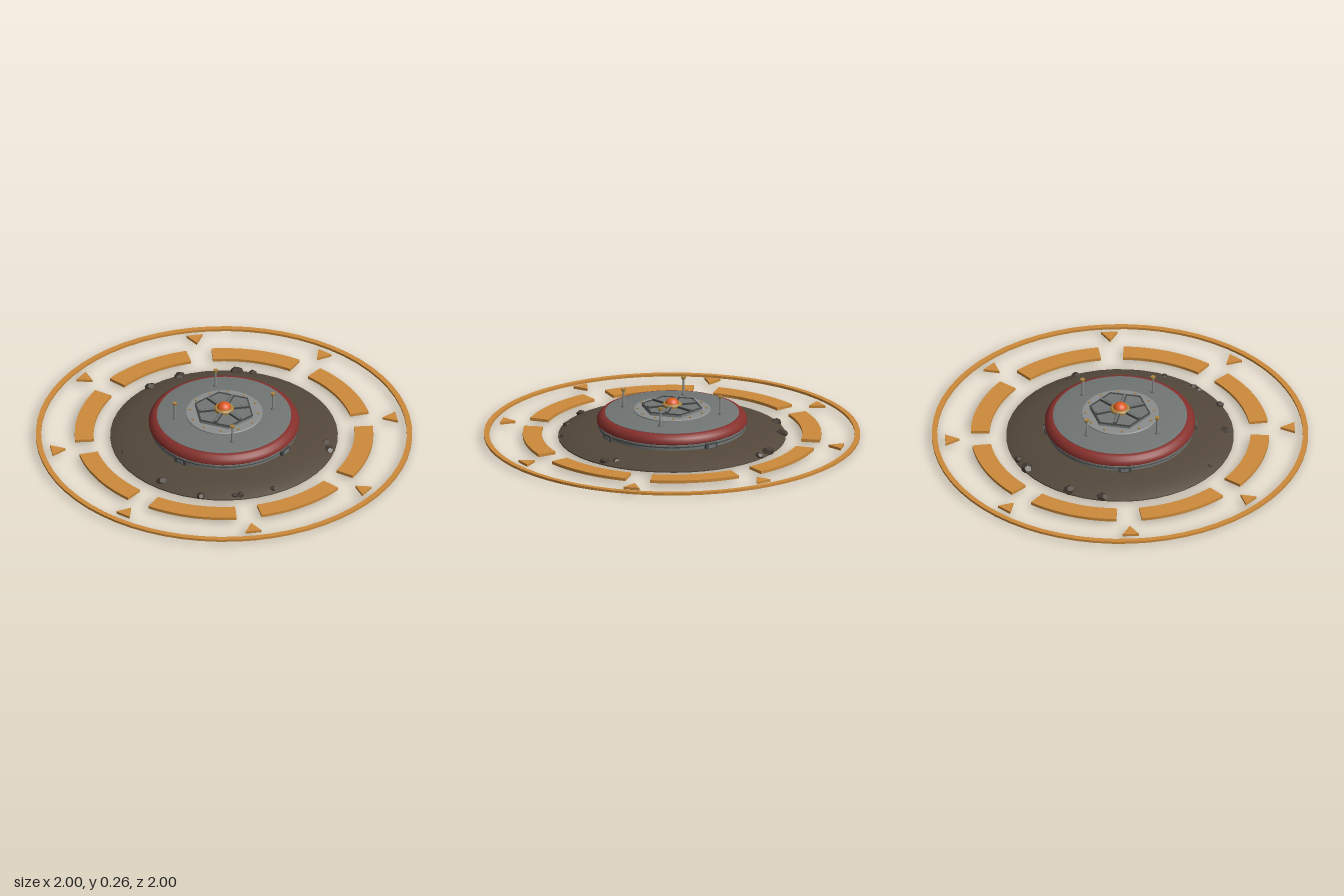
import * as THREE from 'three';
import { toCreasedNormals } from 'three/addons/utils/BufferGeometryUtils.js';

const material = (name, color) => {
  const m = new THREE.MeshStandardMaterial({ color });
  m.name = name;
  return m;
};

export function createModel() {
  const amber = material('amber marking', 0xcc8a3a);
  const soil = material('brown soil', 0x54483b);
  const stone = material('dark stone', 0x443b32);
  const steel = material('steel grey', 0x717674);
  const pale = material('pale grey', 0x8b8e8c);
  const dark = material('dark grey', 0x484a49);
  const red = material('dull red', 0x86302b);
  const orange = material('signal orange', 0xdc5a20);
  const brass = material('brass', 0xa98440);

  const model = new THREE.Group();
  model.name = 'buriedDevice';

  const add = (name, geometry, mat, x = 0, y = 0, z = 0, parent = model) => {
    const mesh = new THREE.Mesh(geometry, mat);
    mesh.name = name;
    mesh.position.set(x, y, z);
    parent.add(mesh);
    return mesh;
  };
  const lathe = (name, points, mat, sides = 64) => add(name, toCreasedNormals(
    new THREE.LatheGeometry(points.map(([r, y]) => new THREE.Vector2(r, y)), sides), 0.5), mat);
  // Flat plate lying on the ground plane
  const plate = (shape, height) => new THREE.ExtrudeGeometry(shape,
    { depth: height, bevelEnabled: false, curveSegments: 32 }).rotateX(-Math.PI / 2);
  // Pivot turned about the vertical axis
  const pivot = (name, angle) => {
    const g = new THREE.Group();
    g.name = name;
    g.rotation.y = angle;
    model.add(g);
    return g;
  };

  // Outer warning ring
  const ring = new THREE.Shape().absarc(0, 0, 1, 0, Math.PI * 2);
  ring.holes.push(new THREE.Path().absarc(0, 0, 0.972, 0, Math.PI * 2, true));
  add('outerRing', plate(ring, 0.013), amber, 0, 0.018, 0);

  // Dashed inner ring and inward-pointing arrows
  const dash = new THREE.Shape();
  const a0 = 0.085, a1 = Math.PI / 4 - 0.085;
  dash.absarc(0, 0, 0.793, a0, a1, false);
  dash.absarc(0, 0, 0.693, a1, a0, true);
  dash.closePath();
  const dashGeometry = plate(dash, 0.016);
  const arrow = new THREE.Shape([[0.855, 0], [0.93, -0.043], [0.93, 0.043]]
    .map(([x, y]) => new THREE.Vector2(x, y)));
  const arrowGeometry = plate(arrow, 0.014);
  for (let i = 0; i < 8; i++) {
    const g = pivot('marker', i * Math.PI / 4);
    add('dash', dashGeometry, amber, 0, 0.016, 0, g);
    add('arrow', arrowGeometry, amber, 0, 0.018, 0, g);
  }

  // Soil mound
  lathe('soilMound', [[0, 0.012], [0.605, 0.012], [0.605, 0.018], [0.56, 0.036],
    [0.5, 0.048], [0.44, 0.056], [0.38, 0.064], [0, 0.064]], soil, 48);

  // Stones around the mound edge: x, z, size
  const stones = [[-0.31, -0.495, 0.033], [-0.14, -0.565, 0.036], [0.165, -0.562, 0.038],
    [0.245, -0.532, 0.026], [-0.555, 0.085, 0.02], [-0.4, 0.385, 0.035], [-0.22, 0.55, 0.026],
    [-0.04, 0.578, 0.02], [-0.01, 0.578, 0.024], [0.17, 0.55, 0.022], [0.515, 0.18, 0.031],
    [0.525, 0.24, 0.031], [0.55, -0.01, 0.018]];
  stones.forEach(([x, z, s], i) => {
    const rock = add('stone', toCreasedNormals(new THREE.DodecahedronGeometry(s), 0.1),
      stone, x, 0.026, z);
    rock.scale.set(1, 0.68, 0.85);
    rock.rotation.y = i * 1.3;
  });

  // Lower casing, red rim and sloped cover
  lathe('casing', [[0.38, 0.04], [0.39, 0.05], [0.39, 0.08], [0.395, 0.084],
    [0.395, 0.092], [0.38, 0.097]], steel);
  lathe('rimSeam', [[0.384, 0.076], [0.393, 0.077], [0.393, 0.082], [0.384, 0.083]], dark);
  lathe('redRim', [[0.37, 0.095], [0.395, 0.095], [0.4, 0.1], [0.4, 0.112], [0.392, 0.128],
    [0.378, 0.141], [0.367, 0.146], [0.35, 0.146]], red);
  lathe('cover', [[0.357, 0.14], [0.357, 0.148], [0.345, 0.151], [0.2, 0.161], [0, 0.161]], steel);

  // Side latches
  for (let i = 0; i < 4; i++) {
    const g = pivot('latch', Math.PI / 4 + i * Math.PI / 2);
    add('latchBlock', new THREE.BoxGeometry(0.07, 0.034, 0.025), dark, 0, 0.073, 0.392, g);
    add('latchPlate', new THREE.BoxGeometry(0.04, 0.016, 0.006), steel, 0, 0.073, 0.405, g);
  }

  // Pressure plate with bolts
  lathe('boltRing', [[0.205, 0.155], [0.205, 0.166], [0.2, 0.169], [0, 0.169]], pale);
  for (let i = 0; i < 12; i++) {
    const a = (i + 0.5) * Math.PI / 6;
    add('bolt', new THREE.CylinderGeometry(0.006, 0.006, 0.006, 8), brass,
      Math.sin(a) * 0.183, 0.171, Math.cos(a) * 0.183);
  }

  // Hexagonal hub with raised edge and spokes
  add('hexHub', toCreasedNormals(new THREE.CylinderGeometry(0.162, 0.166, 0.016, 6), 0.3),
    steel, 0, 0.175, 0);
  for (let i = 0; i < 6; i++) {
    const g = pivot('hubSector', Math.PI / 2 + i * Math.PI / 3);
    add('hexEdge', new THREE.BoxGeometry(0.164, 0.006, 0.007), dark, 0, 0.184, 0.139, g);
    add('spoke', new THREE.BoxGeometry(0.019, 0.012, 0.1), dark, 0, 0.187, 0.085, g);
    add('spokeCap', new THREE.BoxGeometry(0.011, 0.004, 0.094), steel, 0, 0.193, 0.085, g);
  }
  lathe('lampCollar', [[0.052, 0.18], [0.052, 0.194], [0.046, 0.2], [0, 0.2]], brass, 32);
  add('lamp', new THREE.SphereGeometry(0.038, 32, 20), orange, 0, 0.19, 0);

  // Four sensor prongs
  for (let i = 0; i < 4; i++) {
    const g = pivot('prong', i * Math.PI / 2);
    add('prongFoot', new THREE.CylinderGeometry(0.012, 0.014, 0.012, 12), steel, 0, 0.158, 0.265, g);
    add('prongRod', new THREE.CylinderGeometry(0.006, 0.007, 0.1, 12), pale, 0, 0.2, 0.265, g);
    add('prongTip', new THREE.CylinderGeometry(0.013, 0.011, 0.012, 12), brass, 0, 0.252, 0.265, g);
  }
  return model;
}
